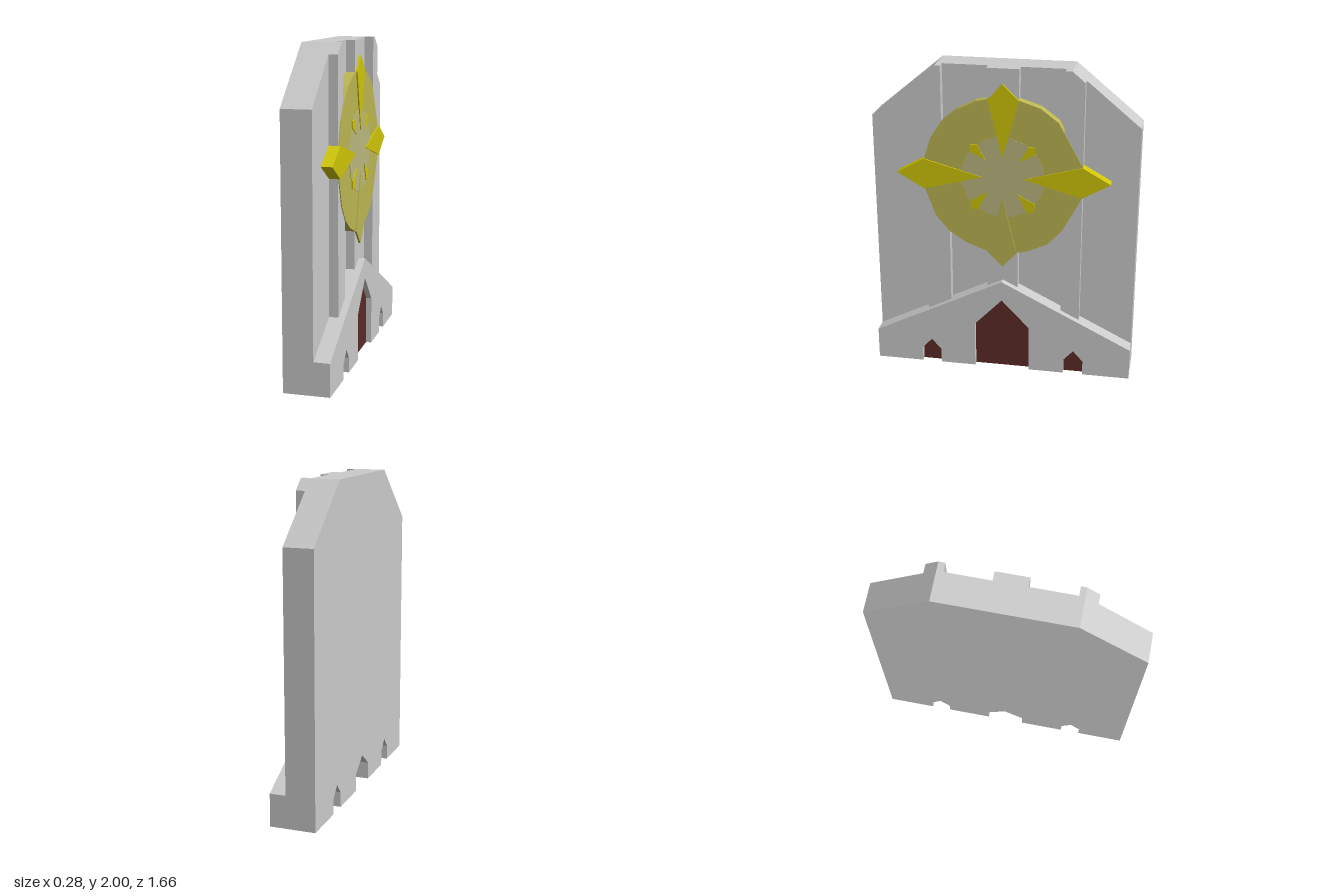
import * as THREE from 'three';

const mat = (color) => new THREE.MeshStandardMaterial({ color, flatShading: true });
const stone = mat(0xcccccc);
const gold = mat(0xd0c608);
const paleGold = mat(0xbdb752);
const glass = mat(0xbcb880);
const wood = mat(0x5a2a27);

const toPoints = (pts) => pts.map(([u, v]) => new THREE.Vector2(u, v));
const mirrorU = (pts) => pts.map(([u, v]) => [-u, v]).reverse();

// Facade outlines are drawn in (u, y), then extruded between two depths.
function slab(name, pts, from, to, material, holes = []) {
  const shape = new THREE.Shape(toPoints(pts));
  holes.forEach((h) => shape.holes.push(new THREE.Path(toPoints(h))));
  const geo = new THREE.ExtrudeGeometry(shape, { depth: to - from, bevelEnabled: false });
  geo.translate(0, 0, from);
  const mesh = new THREE.Mesh(geo, material);
  mesh.name = name;
  return mesh;
}

// Pointed doorway: centre, half width, shoulder height and apex height
const doorway = (c, w, shoulder, apex) => [
  [c - w, 0], [c - w, shoulder], [c, apex], [c + w, shoulder], [c + w, 0],
];

export function createModel() {
  const root = new THREE.Group();
  root.name = 'facade';
  const body = new THREE.Group();
  body.name = 'facadeBody';
  body.rotation.y = Math.PI / 2; // the decorated face looks along +x
  root.add(body);

  const smallDoors = [-0.467, 0.467].map((c) => doorway(c, 0.063, 0.095, 0.165));
  const mainDoor = doorway(0, 0.177, 0.305, 0.49);

  // Back wall with chamfered shoulders and door notches along its foot
  body.add(slab('backWall', [
    [-0.83, 0], ...smallDoors[0], ...doorway(0, 0.12, 0.11, 0.2), ...smallDoors[1],
    [0.83, 0], [0.83, 1.655], [0.415, 2], [-0.415, 2], [-0.83, 1.655],
  ], -0.145, 0.04, stone));

  // Gabled porch with open doorways
  body.add(slab('porchGable', [
    [-0.83, 0], ...smallDoors[0], ...mainDoor, ...smallDoors[1],
    [0.83, 0], [0.83, 0.205], [0, 0.62], [-0.83, 0.205],
  ], 0.04, 0.14, stone));

  // Thin door leaves set inside the doorways
  [mainDoor, ...smallDoors].forEach((d, i) => {
    const leaf = new THREE.Mesh(new THREE.ShapeGeometry(new THREE.Shape(toPoints(d))), wood);
    leaf.name = i ? 'sideDoor' : 'mainDoor';
    leaf.position.z = 0.105;
    body.add(leaf);
  });

  // Vertical pilasters
  body.add(slab('leftPilaster', [
    [-0.493, 0.371], [-0.34, 0.447], [-0.34, 1.3], [-0.38, 1.3],
    [-0.38, 2], [-0.415, 2], [-0.493, 1.935],
  ], 0.04, 0.097, stone));
  body.add(slab('centrePilaster', [
    [-0.1, 0.57], [0, 0.62], [0.095, 0.57], [0.1, 2], [-0.1, 2],
  ], 0.04, 0.097, stone));
  body.add(slab('rightPilaster', [
    [0.375, 0.43], [0.493, 0.371], [0.493, 1.935], [0.415, 2], [0.375, 2],
  ], 0.04, 0.097, stone));

  // Round window plate with a slightly irregular rim
  body.add(slab('windowPlate', [
    [-0.1, 0.815], [0.09, 0.815], [0.16, 0.833], [0.285, 0.89], [0.375, 0.99],
    [0.493, 1.215], [0.493, 1.41], [0.34, 1.685], [0.23, 1.767], [0.1, 1.81],
    [-0.09, 1.81], [-0.165, 1.793], [-0.28, 1.735], [-0.38, 1.655], [-0.45, 1.545],
    [-0.493, 1.41], [-0.493, 1.215], [-0.425, 1.035], [-0.34, 0.934], [-0.233, 0.865],
  ], 0.04, 0.102, paleGold));

  // Central glass
  const rim = [];
  for (let i = 0; i < 16; i++) {
    const a = ((i + 0.5) / 16) * Math.PI * 2;
    rim.push([0.262 * Math.cos(a), 1.315 + 0.262 * Math.sin(a)]);
  }
  body.add(slab('windowGlass', rim, 0.09, 0.105, glass));

  // Four long star rays
  const sideRay = [[0.13, 1.313], [0.493, 1.215], [0.665, 1.313], [0.493, 1.41]];
  body.add(slab('rightRay', sideRay, 0.04, 0.11, gold));
  body.add(slab('leftRay', mirrorU(sideRay), 0.04, 0.11, gold));
  body.add(slab('topRay', [[0, 1.445], [0.1, 1.81], [0, 1.907], [-0.09, 1.81]], 0.04, 0.11, gold));
  body.add(slab('bottomRay', [[0, 0.717], [0.09, 0.815], [0, 1.18], [-0.1, 0.815]], 0.04, 0.109, paleGold));

  // Small diagonal rays
  const smallUpper = [[0.108, 1.428], [0.2, 1.475], [0.2, 1.52], [0.16, 1.525]];
  const smallLower = [[0.095, 1.213], [0.15, 1.1], [0.197, 1.1], [0.2, 1.155]];
  [smallUpper, smallLower].forEach((ray) => {
    body.add(slab('smallRightRay', ray, 0.09, 0.11, gold));
    body.add(slab('smallLeftRay', mirrorU(ray), 0.09, 0.11, gold));
  });

  return root;
}
